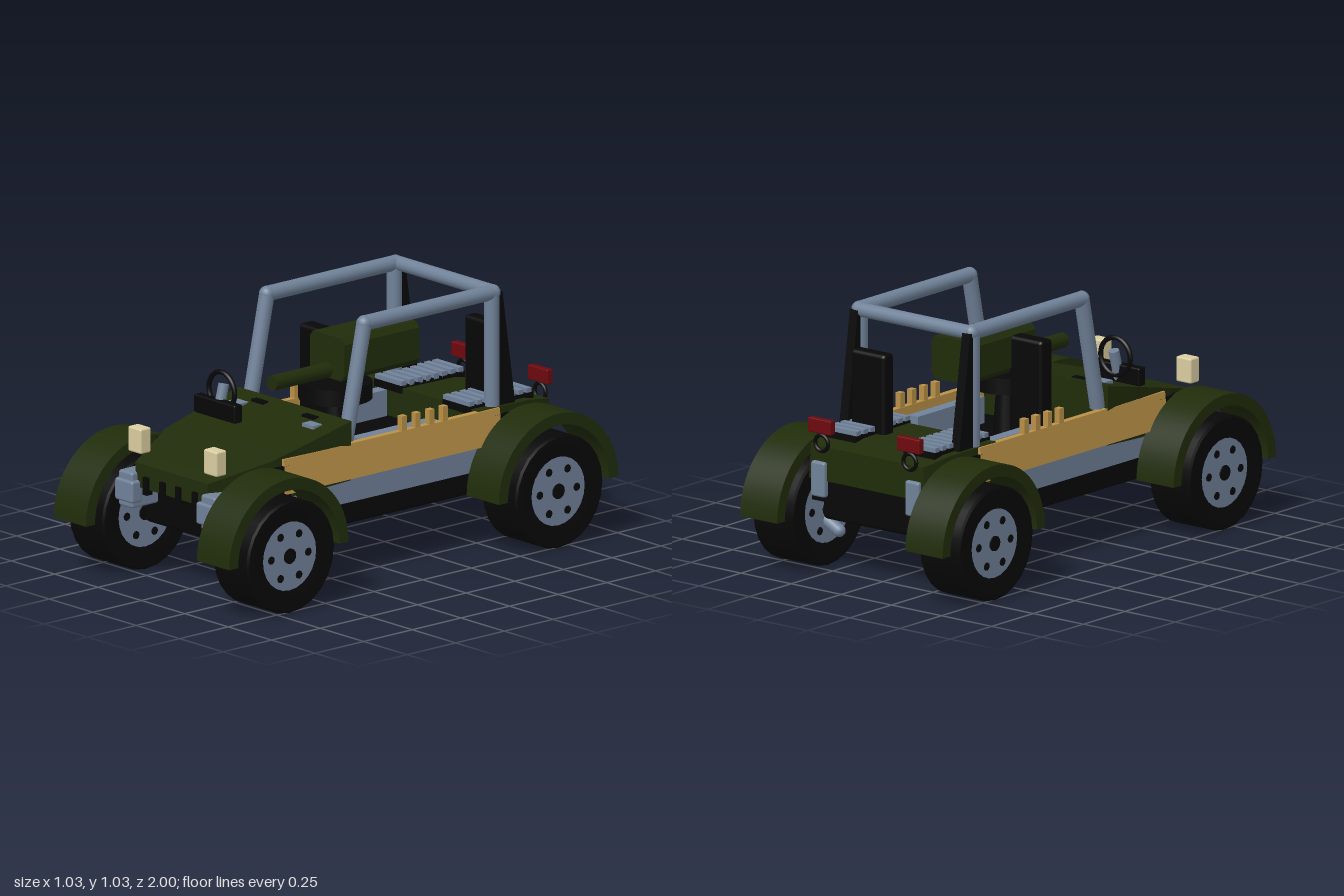
import * as THREE from 'three';
import { RoundedBoxGeometry } from 'three/addons/geometries/RoundedBoxGeometry.js';
import { toCreasedNormals } from 'three/addons/utils/BufferGeometryUtils.js';

const mat = (name, color) => {
  const m = new THREE.MeshStandardMaterial({ color });
  m.name = name;
  return m;
};

export function createModel() {
  const green = mat('olive green', 0x202c0a);
  const black = mat('black', 0x070707);
  const grey = mat('steel grey', 0x708299);
  const tan = mat('tan', 0xba9147);
  const cream = mat('cream', 0xdacda0);
  const red = mat('red', 0x6c080d);

  const root = new THREE.Group();
  root.name = 'buggy';

  const add = (name, geo, m, x = 0, y = 0, z = 0, parent = root) => {
    const mesh = new THREE.Mesh(geo, m);
    mesh.name = name;
    mesh.position.set(x, y, z);
    parent.add(mesh);
    return mesh;
  };
  // box given by its limits on each axis; r rounds the edges
  const box = (name, m, [x0, x1], [y0, y1], [z0, z1], r = 0) => {
    const s = [Math.abs(x1 - x0), y1 - y0, Math.abs(z1 - z0)];
    const g = r ? new RoundedBoxGeometry(...s, 2, r) : new THREE.BoxGeometry(...s);
    return add(name, g, m, (x0 + x1) / 2, (y0 + y1) / 2, (z0 + z1) / 2);
  };
  // rod between two points, with optional round ends
  const rod = (name, m, a, b, r, round = false) => {
    const p = new THREE.Vector3(...a), q = new THREE.Vector3(...b), l = p.distanceTo(q);
    const g = round ? new THREE.CapsuleGeometry(r, l, 5, 16) : new THREE.CylinderGeometry(r, r, l, 16);
    const mesh = add(name, g, m);
    mesh.position.copy(p).lerp(q, 0.5);
    mesh.quaternion.setFromUnitVectors(new THREE.Vector3(0, 1, 0), q.sub(p).normalize());
    return mesh;
  };
  // flat outline pushed to a depth along +z
  const plate = (points, depth) => new THREE.ExtrudeGeometry(
    new THREE.Shape(points.map(p => new THREE.Vector2(...p))), { depth, bevelEnabled: false });
  // solid through sections [z, bottomY, topY, bottomHalfWidth, topHalfWidth], front to back
  const loft = (name, m, sections) => {
    const pos = [], idx = [];
    sections.forEach(([z, y0, y1, b, t]) => pos.push(-b, y0, z, b, y0, z, t, y1, z, -t, y1, z));
    for (let i = 0; i < sections.length - 1; i++)
      for (let j = 0; j < 4; j++) {
        const a = i * 4 + j, c = i * 4 + (j + 1) % 4;
        idx.push(a, a + 4, c, c, a + 4, c + 4);
      }
    const e = (sections.length - 1) * 4;
    idx.push(0, 1, 2, 0, 2, 3, e, e + 2, e + 1, e, e + 3, e + 2);
    const g = new THREE.BufferGeometry();
    g.setAttribute('position', new THREE.Float32BufferAttribute(pos, 3));
    g.setIndex(idx);
    return add(name, toCreasedNormals(g, 0.3), m);
  };

  // body tub
  box('chassis', black, [-0.28, 0.28], [0.21, 0.42], [-0.78, 0.74], 0.02);
  box('cabinFloor', black, [-0.31, 0.31], [0.41, 0.425], [-0.5, 0.5]);
  loft('hood', green, [
    [0.845, 0.385, 0.48, 0.2, 0.21],
    [0.6, 0.385, 0.548, 0.3, 0.31],
    [0.42, 0.39, 0.59, 0.315, 0.32],
    [0.21, 0.4, 0.637, 0.32, 0.325],
  ]);
  loft('rearDeck', green, [
    [-0.45, 0.4, 0.55, 0.315, 0.315],
    [-0.72, 0.385, 0.545, 0.31, 0.31],
    [-0.845, 0.385, 0.52, 0.29, 0.28],
  ]);
  box('rearBumper', black, [-0.28, 0.28], [0.3, 0.39], [-0.84, -0.76]);
  for (const x of [-0.14, -0.045, 0.045, 0.14])
    box('grilleTooth', black, [x - 0.012, x + 0.012], [0.365, 0.435], [0.83, 0.858]);

  // roll cage shared rear bar
  rod('cageCrossBar', grey, [-0.28, 0.998, -0.56], [0.28, 0.998, -0.56], 0.028);

  // wheel built round its own y axis, then laid on its side
  const tyreProfile = [[0.13, -0.088], [0.17, -0.1], [0.216, -0.1], [0.225, -0.093],
    [0.225, 0.093], [0.216, 0.1], [0.17, 0.1], [0.13, 0.088]].map(p => new THREE.Vector2(...p));
  const tyreGeo = toCreasedNormals(new THREE.LatheGeometry(tyreProfile, 24), 0.5);
  const hubGeo = new THREE.CylinderGeometry(0.138, 0.138, 0.18, 32);
  const capGeo = new THREE.CylinderGeometry(0.03, 0.03, 0.19, 16);
  const holeGeo = new THREE.CylinderGeometry(0.016, 0.016, 0.186, 10);
  const fenderShape = new THREE.Shape();
  fenderShape.absarc(0, 0, 0.307, 0, Math.PI, false);
  fenderShape.absarc(0, 0, 0.26, Math.PI, 0, true);
  const fenderGeo = new THREE.ExtrudeGeometry(fenderShape, { depth: 0.185, bevelEnabled: false, curveSegments: 20 });
  fenderGeo.translate(0, 0, -0.0925).rotateY(Math.PI / 2);
  const fenderSmooth = toCreasedNormals(fenderGeo, 0.5);

  for (const s of [-1, 1]) {
    for (const e of [-1, 1]) {
      const wheel = new THREE.Group();
      wheel.name = 'wheel';
      wheel.position.set(s * 0.416, 0.227, e * 0.69);
      wheel.rotation.z = Math.PI / 2;
      root.add(wheel);
      add('tyre', tyreGeo, black, 0, 0, 0, wheel);
      add('hub', hubGeo, grey, 0, 0, 0, wheel);
      add('hubCap', capGeo, black, 0, 0, 0, wheel);
      for (let i = 0; i < 6; i++) {
        const a = i * Math.PI / 3;
        add('hubHole', holeGeo, black, Math.cos(a + Math.PI / 2) * 0.095, 0, Math.sin(a + Math.PI / 2) * 0.095, wheel);
      }
      add('fender', fenderSmooth, green, s * 0.4125, 0.228, e * 0.693);
      box('fenderMount', black, [s * 0.285, s * 0.325], [0.38, 0.52], [e * 0.52, e * 0.64]);
    }

    // side panels leaning inwards, with their row of pegs
    box('sill', grey, [s * 0.25, s * 0.285], [0.3, 0.412], [-0.52, 0.54]);
    const panel = plate([[0.295, 0.41], [0.337, 0.41], [0.322, 0.547], [0.295, 0.547]], 1.11);
    const panelMesh = add('sidePanel', panel, tan, 0, 0, s * -0.555);
    panelMesh.rotation.y = s < 0 ? Math.PI : 0;
    for (let i = 0; i < 4; i++) {
      const z = -0.065 - i * 0.07;
      box('panelPeg', tan, [s * 0.297, s * 0.322], [0.54, 0.605], [z - 0.013, z + 0.013]);
    }

    // roll cage side
    rod('cageFrontPost', grey, [s * 0.28, 0.55, 0.2], [s * 0.28, 1, 0.105], 0.03);
    rod('cageTopRail', grey, [s * 0.28, 0.998, 0.105], [s * 0.28, 0.998, -0.56], 0.03);
    rod('cageRearPost', grey, [s * 0.28, 0.5, -0.55], [s * 0.28, 1, -0.55], 0.03);
    for (const z of [0.105, -0.555]) add('cageJoint', new THREE.SphereGeometry(0.031, 16, 10), grey, s * 0.28, 0.998, z);
    const brace = plate([[0.565, 1.0], [0.588, 1.0], [0.655, 0.53], [0.565, 0.53]], 0.04);
    add('rearBrace', brace.rotateY(Math.PI / 2), black, s * 0.28 - 0.02, 0, 0);

    // lights
    box('headlight', cream, [s * 0.18, s * 0.256], [0.515, 0.615], [0.788, 0.843], 0.008);
    box('tailLight', red, [s * 0.165, s * 0.278], [0.575, 0.632], [-0.867, -0.838], 0.004);
    add('towRing', new THREE.TorusGeometry(0.032, 0.008, 8, 18), black, s * 0.22, 0.535, -0.853);

    // suspension front and rear
    box('frontDamper', grey, [s * 0.182, s * 0.286], [0.325, 0.412], [0.83, 0.885], 0.01);
    box('frontDamperCore', grey, [s * 0.197, s * 0.278], [0.3, 0.443], [0.72, 0.872], 0.01);
    rod('frontDamperLink', grey, [s * 0.25, 0.4, 0.84], [s * 0.28, 0.42, 0.6], 0.025);
    box('rearDamper', grey, [s * 0.2, s * 0.27], [0.32, 0.46], [-0.862, -0.8], 0.01);
    rod('rearLowerArm', grey, [s * 0.268, 0.147, -0.69], [s * 0.34, 0.185, -0.69], 0.025, true);

    // slatted vents on the rear deck
    box('ventBase', black, [s * 0.12, s * 0.275], [0.53, 0.56], [-0.77, -0.44]);
    for (let i = 0; i < 8; i++) {
      const z = -0.75 + i * 0.042;
      box('ventSlat', grey, [s * 0.12, s * 0.272], [0.555, 0.578], [z - 0.013, z + 0.013]);
    }

    // hood fittings
    box('hoodSlot', black, [s * 0.11, s * 0.18], [0.62, 0.632], [0.248, 0.276]);
    box('hoodLatch', grey, [s * 0.18, s * 0.245], [0.6, 0.623], [0.29, 0.335]);
  }

  // cabin: two staggered seats and side lockers
  box('driverSeatBack', black, [-0.25, -0.085], [0.42, 0.862], [-0.1, -0.03], 0.015);
  box('driverSeat', black, [-0.25, -0.085], [0.42, 0.47], [-0.08, 0.15]);
  box('rearSeatBack', black, [0.08, 0.25], [0.5, 0.862], [-0.645, -0.585], 0.015);
  box('rightLocker', grey, [-0.25, -0.2], [0.42, 0.53], [-0.44, -0.1]);
  box('leftLocker', grey, [0.2, 0.25], [0.42, 0.53], [-0.3, 0.1]);

  // dashboard and steering wheel
  box('dashboard', black, [-0.305, -0.068], [0.588, 0.66], [0.42, 0.46], 0.006);
  rod('steeringColumn', grey, [-0.187, 0.6, 0.44], [-0.187, 0.715, 0.41], 0.021);
  add('steeringWheel', new THREE.TorusGeometry(0.074, 0.01, 8, 28), black, -0.187, 0.69, 0.42);

  // turret
  add('turretPedestal', new THREE.CylinderGeometry(0.045, 0.06, 0.22, 16), black, 0, 0.53, 0);
  add('turretRing', new THREE.CylinderGeometry(0.143, 0.143, 0.065, 28), black, 0, 0.658, 0.003);
  const housing = plate([[-0.1, 0.735], [-0.08, 0.712], [0.08, 0.712], [0.1, 0.735], [0.1, 0.86], [0.08, 0.882],
    [-0.08, 0.882], [-0.1, 0.86]], 0.385);
  add('turretHousing', housing, green, 0, 0, -0.34);
  rod('turretBarrel', green, [0, 0.742, 0], [0, 0.742, 0.33], 0.03);

  return root;
}
